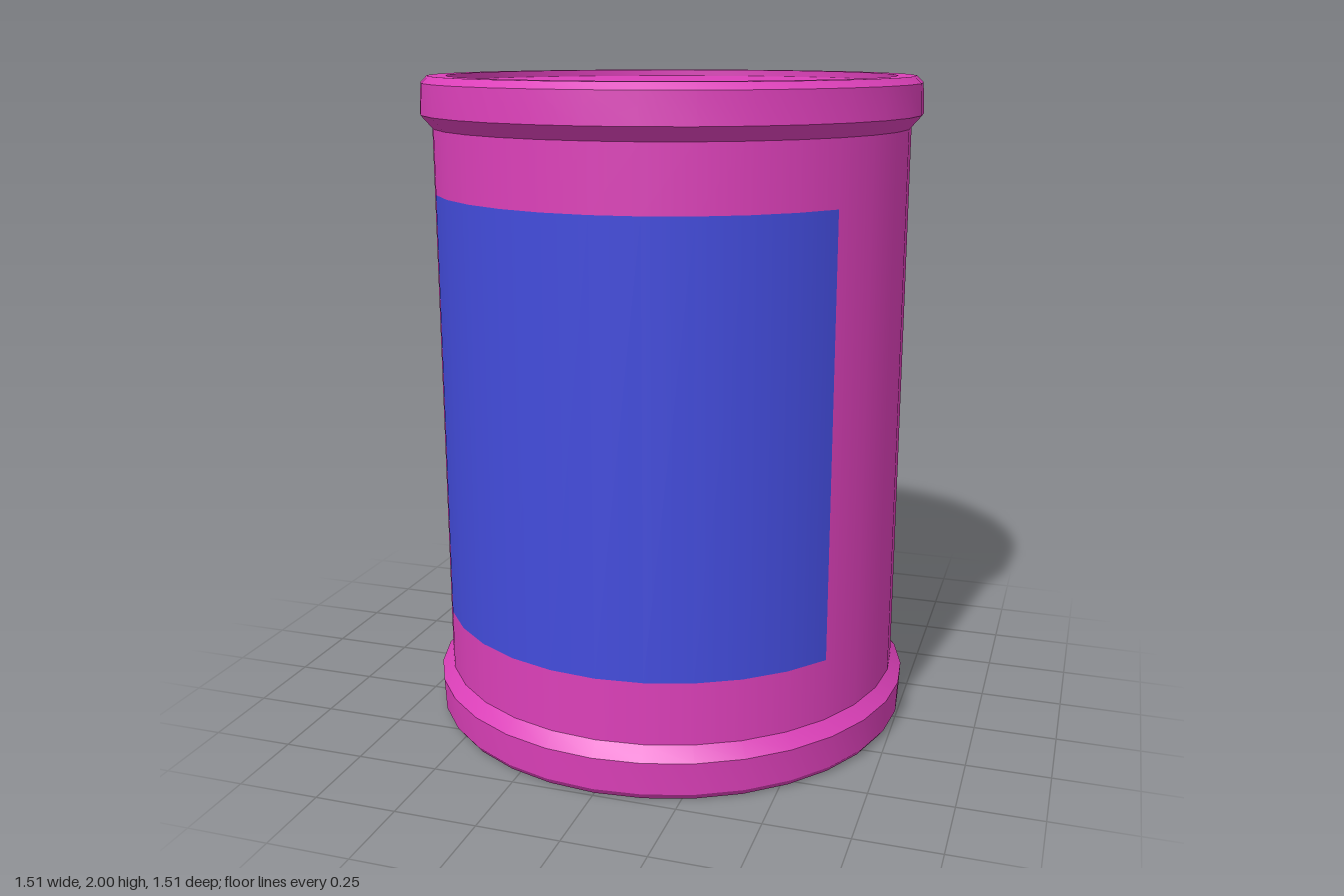
import * as THREE from 'three';
import { toCreasedNormals } from 'three/addons/utils/BufferGeometryUtils.js';

const SIDES = 32;
const STEP = (Math.PI * 2) / SIDES;
const BODY_RADIUS = 0.72;

export function createModel() {
  const model = new THREE.Group();
  model.name = 'can';
  const pink = new THREE.MeshStandardMaterial({ color: 0xdc40b9 });
  const blue = new THREE.MeshStandardMaterial({ color: 0x434cdc });

  const add = (name, geometry, material) => {
    const mesh = new THREE.Mesh(geometry, material);
    mesh.name = name;
    model.add(mesh);
  };

  // Turned part with crisp profile edges; profile is [radius, height] pairs
  const turned = (profile) =>
    toCreasedNormals(new THREE.LatheGeometry(profile.map(([r, y]) => new THREE.Vector2(r, y)), SIDES), 0.4);

  // Section of the body wall between two heights, from one side index, over a count of sides
  const wall = (y0, y1, first = 0, count = SIDES) =>
    new THREE.CylinderGeometry(BODY_RADIUS, BODY_RADIUS, y1 - y0, count, 1, true, first * STEP, count * STEP)
      .translate(0, (y0 + y1) / 2, 0);

  // Base with a flared rim
  add('baseRim', turned([[0, 0], [0.735, 0], [0.75, 0.02], [0.755, 0.12], [BODY_RADIUS, 0.16]]), pink);

  // Body wall, leaving a window at the front for the flush label
  add('bodyLower', wall(0.16, 0.35), pink);
  add('bodyMiddle', wall(0.35, 1.66, 5, SIDES - 10), pink);
  add('bodyUpper', wall(1.66, 1.85), pink);
  add('label', wall(0.35, 1.66, -5, 10), blue);

  // Lid with a flared rim and a shallow recess
  add('lid', turned([
    [BODY_RADIUS, 1.85], [0.755, 1.89], [0.75, 1.98], [0.73, 2],
    [0.675, 2], [0.675, 1.98], [0, 1.98],
  ]), pink);

  return model;
}
